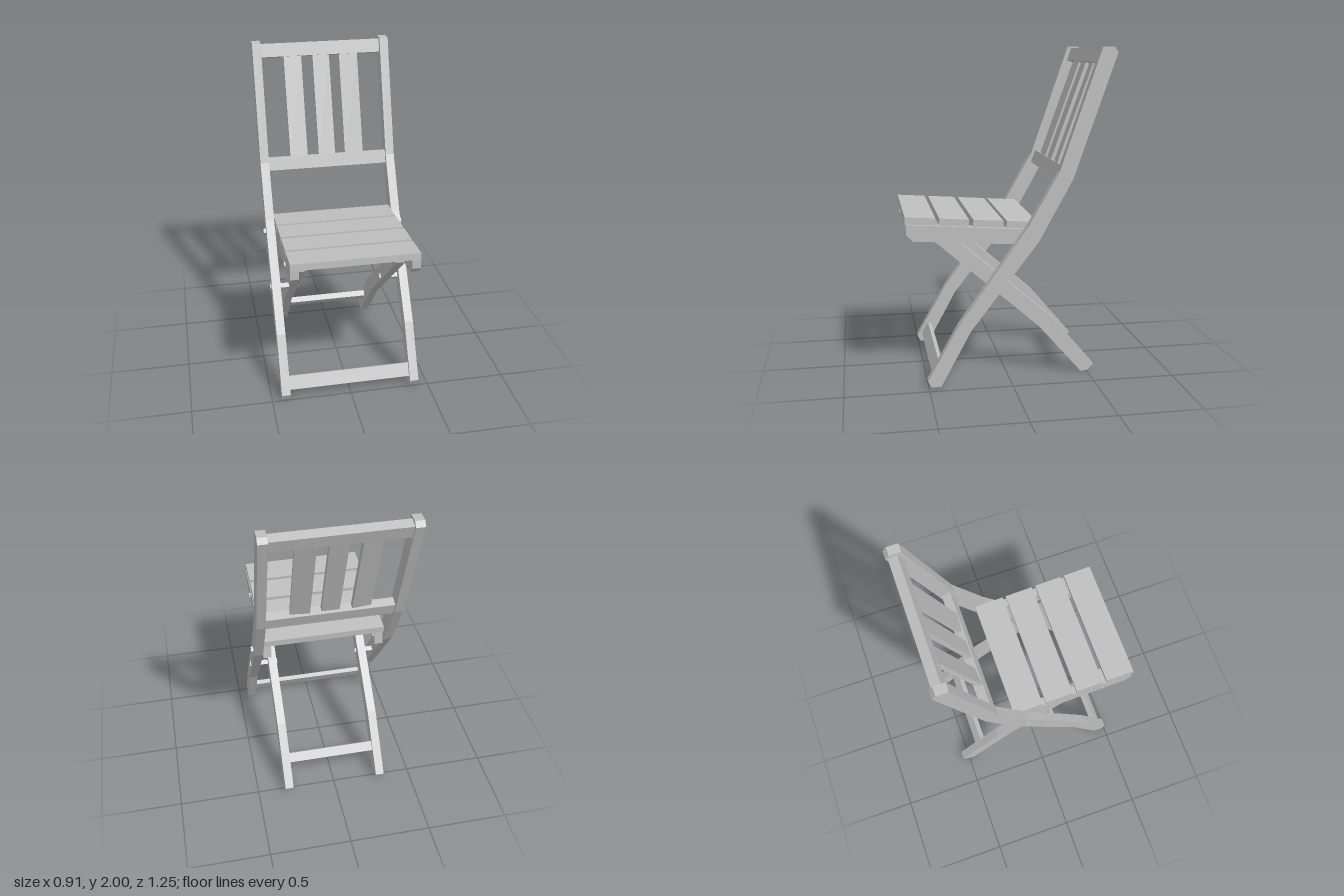
import * as THREE from 'three';

export function createModel() {
  const chair = new THREE.Group();
  chair.name = 'foldingChair';
  const wood = new THREE.MeshStandardMaterial({ color: 0xbfbfbf });
  wood.name = 'plainGrey';

  const add = (name, geometry) => {
    const mesh = new THREE.Mesh(geometry, wood);
    mesh.name = name;
    chair.add(mesh);
    return mesh;
  };

  // Side profile of [z, y] points, given thickness from x0 to x1, on both sides
  const sidePair = (name, x0, x1, points) => {
    const shape = new THREE.Shape(points.map(([z, y]) => new THREE.Vector2(z, y)));
    for (const side of [1, -1]) {
      const g = new THREE.ExtrudeGeometry(shape, { depth: x1 - x0, bevelEnabled: false });
      g.rotateY(-Math.PI / 2);
      g.translate(side > 0 ? x1 : -x0, 0, 0);
      add((side > 0 ? 'left' : 'right') + name, g);
    }
  };

  // Board tilted about the x axis
  const board = (name, [w, h, d], [x, y, z], tilt) => {
    const mesh = add(name, new THREE.BoxGeometry(w, h, d));
    mesh.position.set(x, y, z);
    mesh.rotation.x = tilt;
    return mesh;
  };

  // Long bent posts running from the front feet to the top of the back
  sidePair('BackPost', 0.385, 0.44, [
    [0.485, 0], [0.505, 0.04], [0.32, 0.37], [-0.1, 0.96], [-0.285, 1.285], [-0.53, 2],
    [-0.6, 2], [-0.622, 1.97], [-0.365, 1.235], [-0.165, 0.87], [0.245, 0.335], [0.425, 0],
  ]);

  // Short bent legs running from the rear feet to the seat front
  sidePair('RearLeg', 0.275, 0.328, [
    [-0.46, 0], [-0.505, 0], [-0.545, 0.04], [-0.275, 0.36], [0.3, 0.863],
    [0.385, 0.945], [0.42, 0.965], [0.465, 0.94], [0.465, 0.89], [0.447, 0.87],
    [-0.19, 0.31], [-0.44, 0.025],
  ]);

  // Seat side rails
  sidePair('SeatRail', 0.332, 0.384, [
    [0.615, 0.986], [0.615, 0.927], [0.575, 0.885], [-0.16, 0.837], [-0.15, 0.93],
  ]);

  // Seat slats
  const seatTilt = -0.07;
  [[-0.17, 0.02], [0.04, 0.22], [0.245, 0.42], [0.443, 0.622]].forEach(([z0, z1], i) => {
    const z = (z0 + z1) / 2;
    board('seatSlat' + (i + 1), [0.765, 0.042, z1 - z0], [-0.002, 0.966 + 0.07 * z, z], seatTilt);
  });

  // Back rails and upright slats
  const backTilt = -0.335;
  board('topBackRail', [0.772, 0.085, 0.058], [0, 1.94, -0.568], backTilt);
  board('lowerBackRail', [0.772, 0.085, 0.058], [0, 1.26, -0.327], backTilt);
  [[-0.185, 0.115, 0.08], [0, 0.108, 0], [0.18, 0.118, -0.08]].forEach(([x, w, turn], i) => {
    const slat = board('backSlat' + (i + 1), [w, 0.65, 0.03], [x, 1.602, -0.443], -0.343);
    slat.rotation.y = turn;
  });

  // Foot stretchers
  board('frontStretcher', [0.772, 0.086, 0.03], [0, 0.087, 0.44], -0.51);
  board('rearStretcher', [0.552, 0.06, 0.04], [0, 0.165, -0.395], 0.72);

  // Square pivot pins: [name, y, z, inner x, outer x]
  const pins = [
    ['RearSeatPin', 0.882, -0.112, 0.325, 0.455],
    ['CrossPivotPin', 0.588, 0.093, 0.265, 0.447],
    ['FrontSeatPin', 0.917, 0.41, 0.26, 0.392],
  ];
  for (const [name, y, z, x0, x1] of pins) {
    for (const side of [1, -1]) {
      const g = new THREE.CylinderGeometry(0.021, 0.021, x1 - x0, 4).toNonIndexed();
      g.computeVertexNormals();
      g.rotateZ(Math.PI / 2);
      add((side > 0 ? 'left' : 'right') + name, g).position.set(side * (x0 + x1) / 2, y, z);
    }
  }

  return chair;
}
